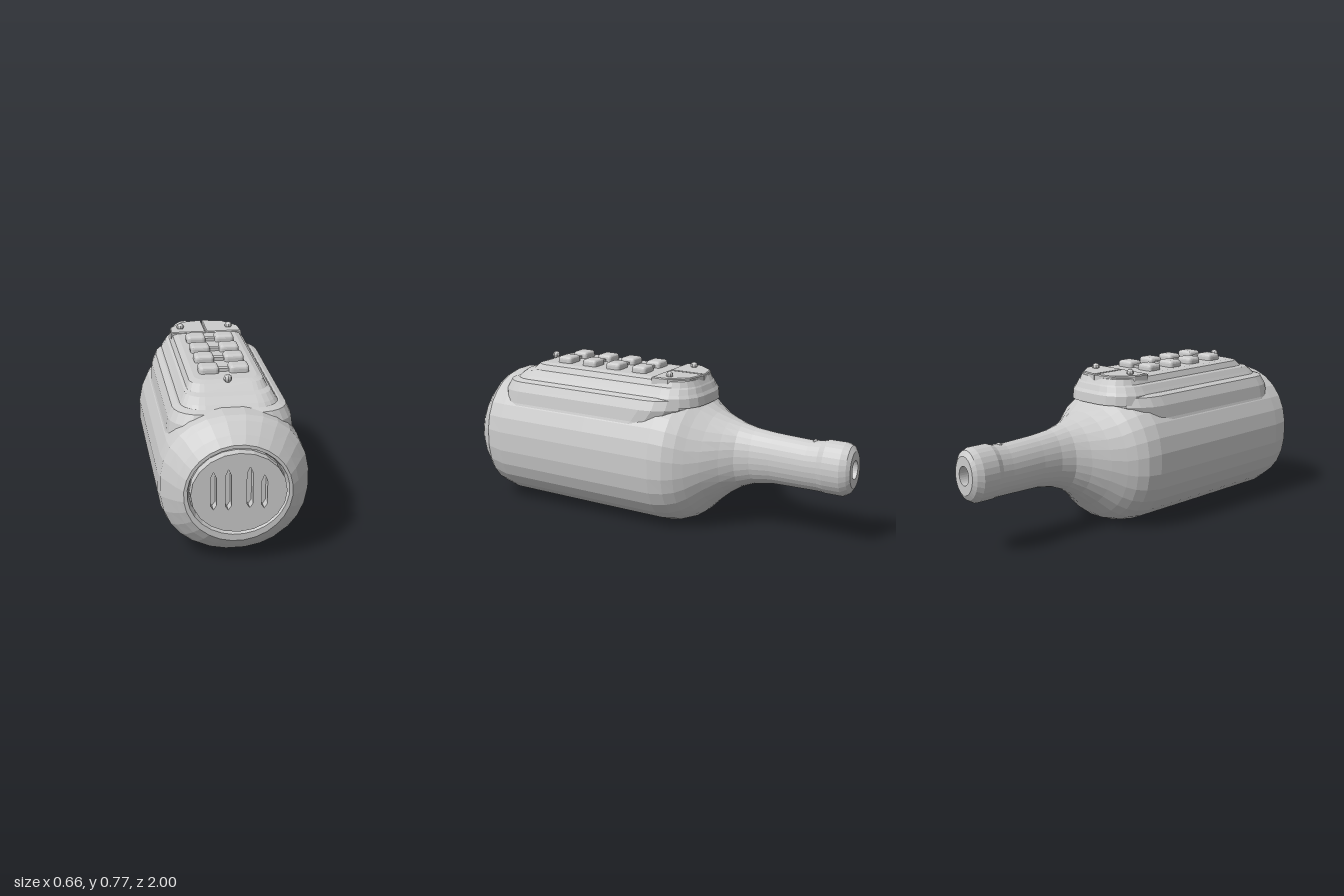
import * as THREE from 'three';
import { RoundedBoxGeometry } from 'three/addons/geometries/RoundedBoxGeometry.js';

const material = new THREE.MeshStandardMaterial({ color: 0xcccccc, flatShading: true });

// Skins a list of closed rings (each counter-clockwise seen from the first ring's outer side)
function loft(rings) {
  const pos = [];
  const put = (...pts) => pts.forEach((p) => pos.push(...p));
  const n = rings[0].length;
  const centre = (ring) => [0, 1, 2].map((k) => ring.reduce((s, p) => s + p[k], 0) / n);
  const last = rings[rings.length - 1];
  const c0 = centre(rings[0]), c1 = centre(last);
  for (let j = 0; j < n; j++) {
    const k = (j + 1) % n;
    put(c0, rings[0][j], rings[0][k]);
    for (let i = 0; i < rings.length - 1; i++) {
      const a = rings[i], b = rings[i + 1];
      put(a[j], b[j], a[k], a[k], b[j], b[k]);
    }
    put(c1, last[k], last[j]);
  }
  const g = new THREE.BufferGeometry();
  g.setAttribute('position', new THREE.Float32BufferAttribute(pos, 3));
  g.computeVertexNormals();
  return g;
}

// Upright superellipse section of the bottle
function section([z, bottom, top, rx, power = 2]) {
  const ring = [], n = 28, cy = (bottom + top) / 2, ry = (top - bottom) / 2;
  const bend = (v) => Math.sign(v) * Math.abs(v) ** (2 / power);
  for (let i = 0; i < n; i++) {
    const a = ((i + 0.5) / n) * Math.PI * 2;
    ring.push([rx * bend(Math.cos(a)), cy + ry * bend(Math.sin(a)), z]);
  }
  return ring;
}

// Level rounded rectangle, for the raised tiers
function tier([y, w, front, back, rFront, rBack]) {
  const ring = [], steps = 5;
  const corners = [
    [w - rBack, back + rBack, rBack], [-w + rBack, back + rBack, rBack],
    [-w + rFront, front - rFront, rFront], [w - rFront, front - rFront, rFront],
  ];
  corners.forEach(([cx, cz, r], q) => {
    for (let i = 0; i <= steps; i++) {
      const a = (q + i / steps) * Math.PI / 2;
      ring.push([cx + r * Math.cos(a), y, cz - r * Math.sin(a)]);
    }
  });
  return ring;
}

export function createModel() {
  const model = new THREE.Group();
  const add = (name, geometry, x = 0, y = 0, z = 0) => {
    const mesh = new THREE.Mesh(geometry, material);
    mesh.name = name;
    mesh.position.set(x, y, z);
    model.add(mesh);
    return mesh;
  };

  // Bottle from base to mouth: z, bottom, top, half width, roundness
  add('bottleBody', loft([
    [0.955, 0.16, 0.54, 0.21], [0.985, 0.15, 0.55, 0.22],
    [0.985, 0.12, 0.565, 0.235], [0.955, 0.085, 0.6, 0.265, 2.1],
    [0.91, 0.045, 0.645, 0.3, 2.2], [0.88, 0.035, 0.66, 0.324, 2.25],
    [0.8, 0.016, 0.662, 0.33, 2.3], [0.3, 0.008, 0.662, 0.331, 2.3],
    [-0.08, 0.003, 0.662, 0.331, 2.3], [-0.15, 0.012, 0.65, 0.318, 2.25],
    [-0.2, 0.03, 0.63, 0.292, 2.2], [-0.24, 0.057, 0.605, 0.263, 2.1],
    [-0.3, 0.115, 0.575, 0.215], [-0.37, 0.175, 0.55, 0.155],
    [-0.43, 0.215, 0.533, 0.112], [-0.5, 0.242, 0.518, 0.092],
    [-0.6, 0.258, 0.508, 0.085], [-0.78, 0.26, 0.5, 0.083],
    [-0.84, 0.26, 0.505, 0.084], [-0.87, 0.257, 0.515, 0.095],
    [-0.955, 0.257, 0.515, 0.095], [-0.985, 0.275, 0.505, 0.08],
    [-1, 0.3, 0.48, 0.062], [-1, 0.345, 0.435, 0.034],
    [-0.95, 0.345, 0.435, 0.03],
  ].map(section)));

  // Base plate with four upright slots
  const face = new THREE.Shape();
  face.absellipse(0, 0.352, 0.207, 0.182, 0, Math.PI * 2);
  for (const [x, low, high] of [[-0.11, 0.28, 0.455], [-0.046, 0.275, 0.463], [0.046, 0.28, 0.47], [0.108, 0.275, 0.43]]) {
    const slot = new THREE.Path();
    slot.setFromPoints([[0, low], [0.013, low + 0.02], [0.013, high - 0.03], [0, high], [-0.013, high - 0.03], [-0.013, low + 0.02]]
      .map(([dx, y]) => new THREE.Vector2(x + dx, y)));
    slot.closePath();
    face.holes.push(slot);
  }
  add('slottedBase', new THREE.ExtrudeGeometry(face, { depth: 0.044, bevelEnabled: false, curveSegments: 10 }), 0, 0, 0.956);

  // Raised shoulder and stepped panel: height, half width, front, back, corner radii
  add('shoulderBlock', loft([
    [0.655, 0.225, 0.8, -0.2, 0.11, 0.19], [0.645, 0.25, 0.83, -0.21, 0.12, 0.2],
    [0.6, 0.271, 0.85, -0.21, 0.13, 0.21], [0.54, 0.279, 0.855, -0.17, 0.13, 0.21],
    [0.49, 0.295, 0.855, -0.12, 0.13, 0.2], [0.4, 0.295, 0.85, -0.1, 0.13, 0.2],
  ].map(tier)));
  add('topPanel', loft([
    [0.738, 0.14, 0.65, -0.18, 0.05, 0.09], [0.73, 0.165, 0.68, -0.2, 0.06, 0.11],
    [0.702, 0.178, 0.715, -0.215, 0.07, 0.13], [0.695, 0.19, 0.75, -0.22, 0.08, 0.14],
    [0.67, 0.205, 0.785, -0.23, 0.09, 0.15], [0.655, 0.215, 0.8, -0.24, 0.1, 0.16],
    [0.61, 0.215, 0.8, -0.245, 0.1, 0.16],
  ].map(tier)));

  // Paired plates, knobs and keys
  for (const side of [1, -1]) {
    const label = side > 0 ? 'left' : 'right';
    const plate = new THREE.Shape([[0.006, 0.02], [0.17, 0.02], [0.165, 0.1], [0.1, 0.185], [0.006, 0.205]]
      .map(([x, y]) => new THREE.Vector2(side * x, y)));
    const plateGeometry = new THREE.ExtrudeGeometry(plate, { depth: 0.035, bevelEnabled: true, bevelSize: 0.004, bevelThickness: 0.005, bevelSegments: 1 });
    plateGeometry.rotateX(-Math.PI / 2);
    add(label + 'Plate', plateGeometry, 0, 0.705, 0);
    add(label + 'Knob', new THREE.SphereGeometry(0.018, 8, 6), side * 0.12, 0.752, -0.085);
    [0.1, 0.25, 0.39, 0.54].forEach((z, i) => {
      add(label + 'Key' + (i + 1), new RoundedBoxGeometry(0.09, 0.05, 0.082, 2, 0.016), side * 0.068, 0.745, z);
    });
  }
  [0.1, 0.25, 0.39, 0.54].forEach((z, i) => {
    add('keyBridge' + (i + 1), new THREE.BoxGeometry(0.06, 0.02, 0.03), 0, 0.742, z);
  });

  // Small details
  add('panelBead', new THREE.SphereGeometry(0.019, 8, 6), 0, 0.747, 0.67);
  add('neckStud', new THREE.SphereGeometry(0.018, 8, 6), 0, 0.498, -0.8).scale.set(1, 0.5, 0.6);
  return model;
}
